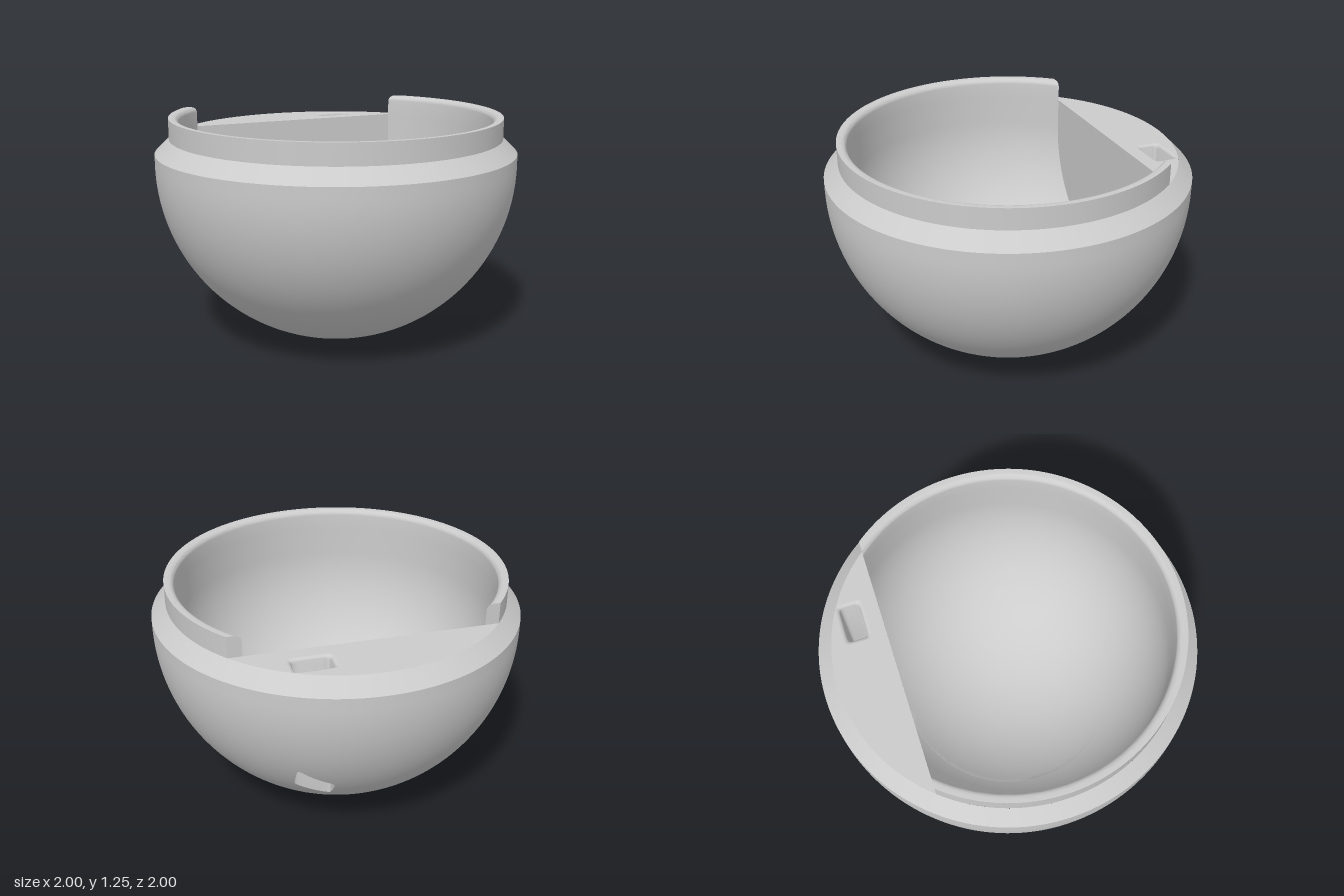
import * as THREE from 'three';
import { toCreasedNormals } from 'three/addons/utils/BufferGeometryUtils.js';

const CUT = 0.6;             // the back wall lies at z = -CUT
const LEDGE = 1.14, TOP = 1.255;
const LIP = 0.92, BORE = 0.866, FLOOR_C = 0.98;
const SLOT = { x: 0.315, z: -0.75 };

// Surface through rows of [x, y, z] points of equal length
function loft(rows) {
  const n = rows[0].length, index = [];
  for (let i = 0; i < rows.length - 1; i++) {
    for (let j = 0; j < n - 1; j++) {
      const a = i * n + j, c = a + n;
      index.push(a, a + 1, c, a + 1, c + 1, c);
    }
  }
  const geo = new THREE.BufferGeometry();
  geo.setAttribute('position', new THREE.Float32BufferAttribute(rows.flat(2), 3));
  geo.setIndex(index);
  return toCreasedNormals(geo, 0.6);
}

// Rounded rectangular slot outline, as [x, z] points
const SIDES = 240;
function slotOutline(a, b) {
  return Array.from({ length: SIDES + 1 }, (_, j) => {
    const t = (j / SIDES) * Math.PI * 2, c = Math.cos(t), s = Math.sin(t);
    const r = Math.pow(Math.abs(c / a) ** 8 + Math.abs(s / b) ** 8, -1 / 8);
    return [SLOT.x + r * c, SLOT.z - r * s];
  });
}

// Unit circle met by the same rays from the slot centre
function rimOutline() {
  return Array.from({ length: SIDES + 1 }, (_, j) => {
    const t = (j / SIDES) * Math.PI * 2, dx = Math.cos(t), dz = -Math.sin(t);
    const k = SLOT.x * dx + SLOT.z * dz;
    const d = -k + Math.sqrt(k * k + 1 - SLOT.x ** 2 - SLOT.z ** 2);
    return [SLOT.x + d * dx, SLOT.z + d * dz];
  });
}

// Turned surface with every ring stopped at the plane z = -CUT
function clippedTurn(profile, segments = 128) {
  return loft(profile.map(([r, y]) => {
    const lim = r > CUT ? Math.acos(-CUT / r) : Math.PI;
    return Array.from({ length: segments + 1 }, (_, j) => {
      const p = lim * (2 * j / segments - 1);
      return [r * Math.sin(p), y, r * Math.cos(p)];
    });
  }));
}

export function createModel() {
  const group = new THREE.Group();
  const material = new THREE.MeshStandardMaterial({ color: 0xcccccc });
  const add = (name, geo) => {
    const mesh = new THREE.Mesh(geo, material);
    mesh.name = name;
    group.add(mesh);
    return mesh;
  };
  const level = (pts, y) => pts.map(([x, z]) => [x, y, z]);
  const onSphere = (pts) => pts.map(([x, z]) => [x, 1 - Math.sqrt(Math.max(0, 1 - x * x - z * z)), z]);

  // Slot: rounded mouth, then straight down to the bowl's outside
  const inner = slotOutline(0.098, 0.053);
  const bore = [];
  for (let i = 0; i <= 4; i++) {
    const t = (i / 4) * Math.PI / 2, e = 0.02 * (1 - Math.sin(t));
    bore.push(level(slotOutline(0.098 + e, 0.053 + e), LEDGE - 0.02 * (1 - Math.cos(t))));
  }
  bore.push(onSphere(inner));
  add('slotWall', loft(bore));

  // Bowl outside: spreads from the slot exit to the rim, then band and bevel
  const rim = rimOutline();
  const shell = [];
  for (let i = 0; i <= 64; i++) {
    const t = Math.sin((i / 64) * Math.PI / 2);
    shell.push(onSphere(inner.map(([x, z], j) => [x + (rim[j][0] - x) * t, z + (rim[j][1] - z) * t])));
  }
  shell.push(level(rim, 1.06));
  shell.push(level(rim.map(([x, z]) => [x * LIP, z * LIP]), LEDGE));
  add('bowlOutside', loft(shell));

  // Lip profile with rounded inner edge
  const lip = [[LIP, LEDGE], [LIP, TOP]];
  const f = 0.03;
  for (let i = 0; i <= 6; i++) {
    const t = (i / 6) * Math.PI / 2;
    lip.push([BORE + f - f * Math.sin(t), TOP - f + f * Math.cos(t)]);
  }
  lip.push([BORE, LEDGE]);
  add('lip', clippedTurn(lip));

  // Hollow: short straight wall, then a round floor
  const half = Math.sqrt(BORE ** 2 - CUT ** 2);
  const hollow = [[BORE, LEDGE]];
  const wall = [[half, LEDGE]];
  for (let i = 0; i <= 32; i++) {
    const t = (i / 32) * Math.PI / 2, w = half * Math.cos(t), y = FLOOR_C - half * Math.sin(t);
    hollow.push([Math.hypot(w, CUT), y]);
    wall.push([w, y]);
  }
  const start = Math.asin(CUT / BORE);
  for (let i = 1; i <= 20; i++) {
    const t = start * (1 - i / 20);
    hollow.push([BORE * Math.sin(t), FLOOR_C - BORE * Math.cos(t)]);
  }
  add('hollow', clippedTurn(hollow));

  // Flat back wall of the hollow
  const outline = [...wall, ...wall.slice(0, -1).reverse().map(([x, y]) => [-x, y])];
  const shapeOf = (pts) => new THREE.Shape(pts.map(([x, y]) => new THREE.Vector2(x, y)));
  add('backWall', new THREE.ShapeGeometry(shapeOf(outline))).position.z = -CUT;

  // Cut ends of the lip, facing back
  for (const side of [-1, 1]) {
    const end = lip.map(([r, y]) => [side * Math.sqrt(r * r - CUT * CUT), y]);
    const mesh = add(side > 0 ? 'lipEndRight' : 'lipEndLeft', new THREE.ShapeGeometry(shapeOf(end)));
    mesh.rotation.y = Math.PI;
    mesh.position.z = -CUT;
  }

  // Flat ledge behind the wall, pierced by the slot
  const ledge = new THREE.Shape();
  const a0 = Math.asin(CUT / LIP);
  ledge.absarc(0, 0, LIP, a0, Math.PI - a0, false);
  ledge.closePath();
  ledge.holes.push(new THREE.Path(slotOutline(0.118, 0.073).slice(0, -1).map(([x, z]) => new THREE.Vector2(x, -z))));
  const ledgeMesh = add('backLedge', new THREE.ShapeGeometry(ledge, 64));
  ledgeMesh.rotation.x = -Math.PI / 2;
  ledgeMesh.position.y = LEDGE;

  return group;
}
